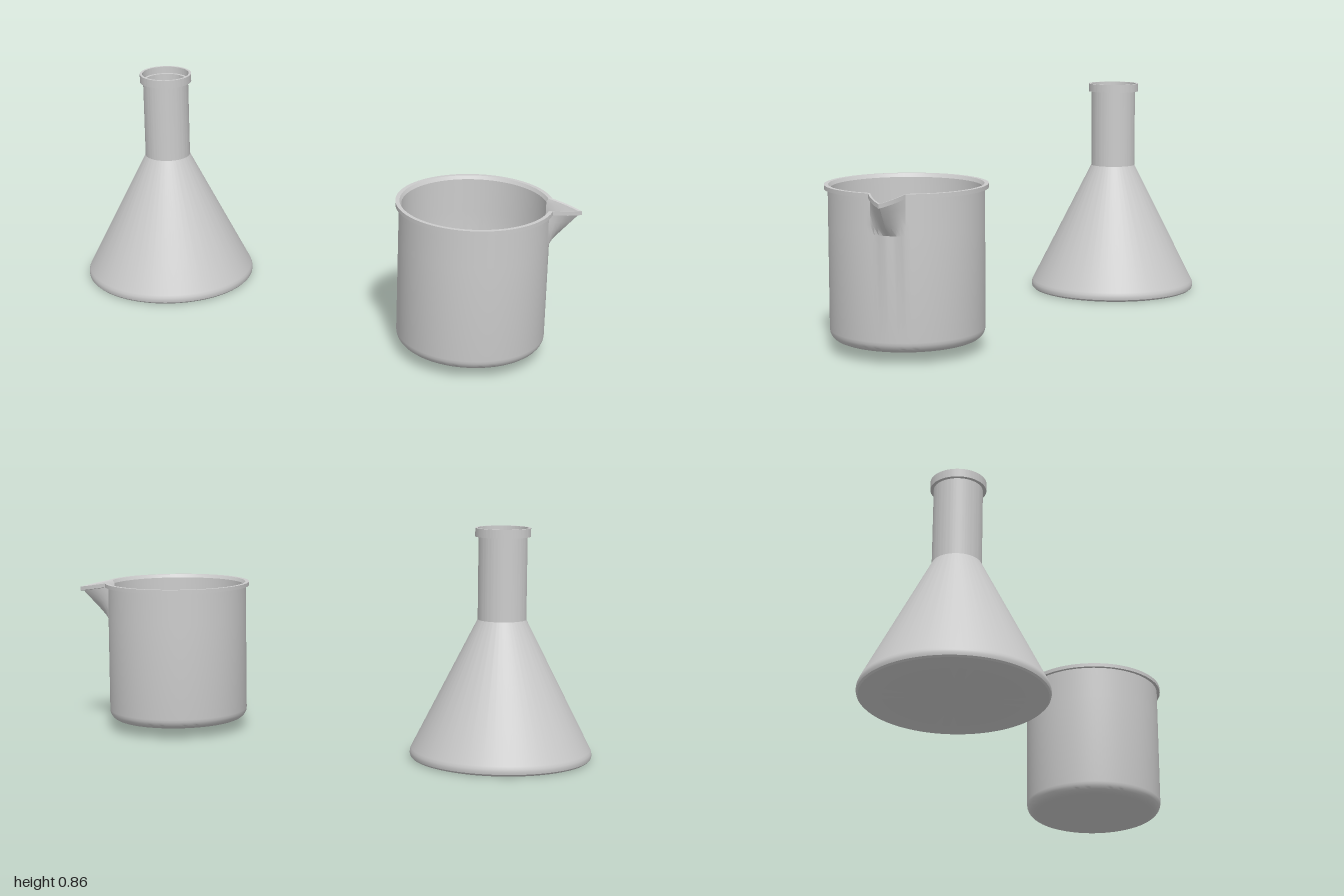
import * as THREE from 'three';
import { toCreasedNormals } from 'three/addons/utils/BufferGeometryUtils.js';

const SEGMENTS = 112;
const glass = new THREE.MeshStandardMaterial({ color: 0xcccccc, side: THREE.DoubleSide });

// Quarter arc of profile points about (r, y), angles in degrees
function arc(r, y, radius, from, to, steps = 6) {
  return Array.from({ length: steps + 1 }, (_, i) => {
    const a = THREE.MathUtils.degToRad(from + ((to - from) * i) / steps);
    return [r + radius * Math.cos(a), y + radius * Math.sin(a)];
  });
}

// Revolve a closed wall profile: up the outside, then down the inside
function vessel(name, profile, deform) {
  const points = profile.map(([r, y]) => new THREE.Vector2(r, y));
  const geometry = new THREE.LatheGeometry(points, SEGMENTS, Math.PI);
  if (deform) deform(geometry.attributes.position);
  const mesh = new THREE.Mesh(toCreasedNormals(geometry, 0.42), glass);
  mesh.name = name;
  return mesh;
}

// Pull the wall and rim outwards into a V-shaped pouring lip at +z
function pullSpout(position) {
  const half = (4 * 2 * Math.PI) / SEGMENTS;
  for (let i = 0; i < position.count; i++) {
    const x = position.getX(i), y = position.getY(i), z = position.getZ(i);
    const r = Math.hypot(x, z);
    if (r < 0.2) continue;
    const across = Math.max(0, 1 - Math.abs(Math.atan2(x, z)) / half);
    const up = THREE.MathUtils.clamp((y - 0.45) / 0.13, 0, 1);
    const pull = across * up;
    const scale = (r + 0.1 * pull) / r;
    // The channel narrows towards its tip
    position.setXYZ(i, x * scale, y - 0.02 * pull, z * scale);
  }
}

export function createModel() {
  const model = new THREE.Group();

  // Conical flask with straight neck and stepped collar
  const flask = vessel('conicalFlask', [
    [0, 0], [0.322, 0], [0.331, 0.003], [0.337, 0.009], [0.339, 0.018], [0.338, 0.028], [0.334, 0.038],
    [0.09, 0.522], [0.09, 0.83], [0.1025, 0.83], [0.1025, 0.862],
    [0.093, 0.862], [0.093, 0.835], [0.082, 0.835], [0.082, 0.522],
    [0.322, 0.038], [0.322, 0.012], [0, 0.012],
  ]);
  flask.position.set(-0.661, 0, 0.138);

  // Beaker with rounded base, flat rim and pouring lip
  const beaker = vessel('beaker', [
    [0, 0.04],
    ...arc(0.237, 0.08, 0.04, -90, 0),
    [0.277, 0.45], [0.277, 0.485], [0.277, 0.52], [0.277, 0.55], [0.277, 0.58],
    [0.29, 0.58], [0.29, 0.595], [0.275, 0.595],
    [0.268, 0.582], [0.268, 0.55], [0.268, 0.52], [0.268, 0.485], [0.268, 0.45],
    ...arc(0.237, 0.08, 0.031, 0, -90),
    [0, 0.049],
  ], pullSpout);
  beaker.position.set(0.685, 0, -0.188);
  beaker.rotation.y = Math.atan2(0.305, -0.242);

  model.add(flask, beaker);
  return model;
}
